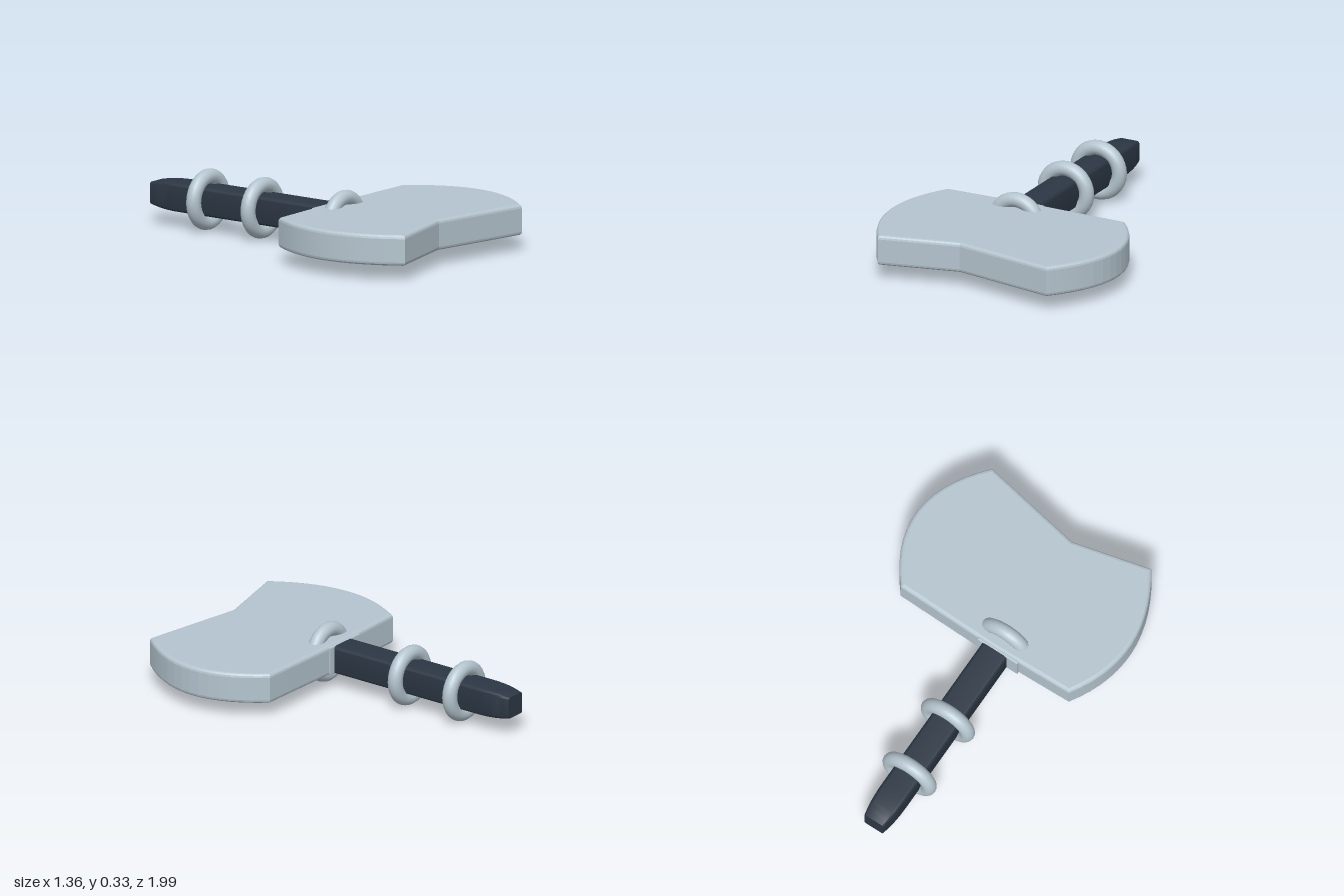
import * as THREE from 'three';
import { toCreasedNormals } from 'three/addons/utils/BufferGeometryUtils.js';

const AXIS_X = -0.1; // handle axis
const AXIS_Y = 0.167;

const steel = new THREE.MeshStandardMaterial({ color: 0xb4c4ce });
const darkGrip = new THREE.MeshStandardMaterial({ color: 0x2c3744 });

function addMesh(group, name, geometry, material) {
  const mesh = new THREE.Mesh(geometry, material);
  mesh.name = name;
  group.add(mesh);
  return mesh;
}

// Flat slab lying in the xz plane; shape y becomes z
function slab(shape, bottom, top, bevel) {
  const geo = new THREE.ExtrudeGeometry(shape, {
    depth: top - bottom - 2 * bevel,
    bevelSize: bevel, bevelThickness: bevel, bevelOffset: -bevel, bevelSegments: 3,
    curveSegments: 14,
  });
  geo.rotateX(Math.PI / 2);
  geo.translate(0, top - bevel, 0);
  return geo;
}

// Head outline: bowed sides and a notched front edge
function headShape() {
  const s = new THREE.Shape();
  s.moveTo(-0.56, 0.167);
  s.lineTo(AXIS_X, 0.155);
  s.lineTo(0.51, 0.167);
  s.quadraticCurveTo(0.862, 0.57, 0.48, 0.992);
  s.lineTo(AXIS_X, 0.885);
  s.lineTo(-0.535, 0.992);
  s.quadraticCurveTo(-0.822, 0.57, -0.56, 0.167);
  return s;
}

function rectShape(x0, x1, z0, z1) {
  const s = new THREE.Shape();
  s.moveTo(x0, z0);
  s.lineTo(x1, z0);
  s.lineTo(x1, z1);
  s.lineTo(x0, z1);
  s.closePath();
  return s;
}

// Square bar with rounded edges, tapering towards its back end
function handleGeometry() {
  const h = 0.078, r = 0.018, back = -1, front = 0.22;
  const s = new THREE.Shape();
  for (let i = 0; i < 4; i++) {
    const a = i * Math.PI / 2;
    const cx = (h - r) * Math.SQRT2 * Math.cos(a + Math.PI / 4);
    const cy = (h - r) * Math.SQRT2 * Math.sin(a + Math.PI / 4);
    s.absarc(cx, cy, r, a, a + Math.PI / 2, false);
  }
  s.closePath();
  const geo = new THREE.ExtrudeGeometry(s, {
    depth: front - back, steps: 40, bevelEnabled: false, curveSegments: 3,
  });
  const p = geo.attributes.position;
  for (let i = 0; i < p.count; i++) {
    const z = p.getZ(i) + back;
    const t = Math.max(0, (-0.78 - z) / 0.22);
    const k = 1 - 0.24 * Math.pow(t, 2.6);
    p.setXYZ(i, p.getX(i) * k + AXIS_X, p.getY(i) * k + AXIS_Y, z);
  }
  return toCreasedNormals(geo, 0.6);
}

export function createModel() {
  const model = new THREE.Group();
  model.name = 'flatHeadedHammer';

  addMesh(model, 'head', toCreasedNormals(slab(headShape(), 0.085, 0.252, 0.02), 0.1), steel);

  // Slim socket plate where the handle enters the head
  addMesh(model, 'socketPlate', slab(rectShape(-0.245, 0.01, 0.147, 0.22), 0.09, 0.247, 0.006), steel);

  addMesh(model, 'handle', handleGeometry(), darkGrip);

  // Two rings around the handle, one sunk into the head
  const rings = [['headRing', 0.25], ['frontGripRing', -0.295], ['backGripRing', -0.658]];
  for (const [name, z] of rings) {
    const ring = addMesh(model, name, new THREE.TorusGeometry(0.125, 0.04, 14, 32), steel);
    ring.position.set(AXIS_X, AXIS_Y, z);
  }

  return model;
}
